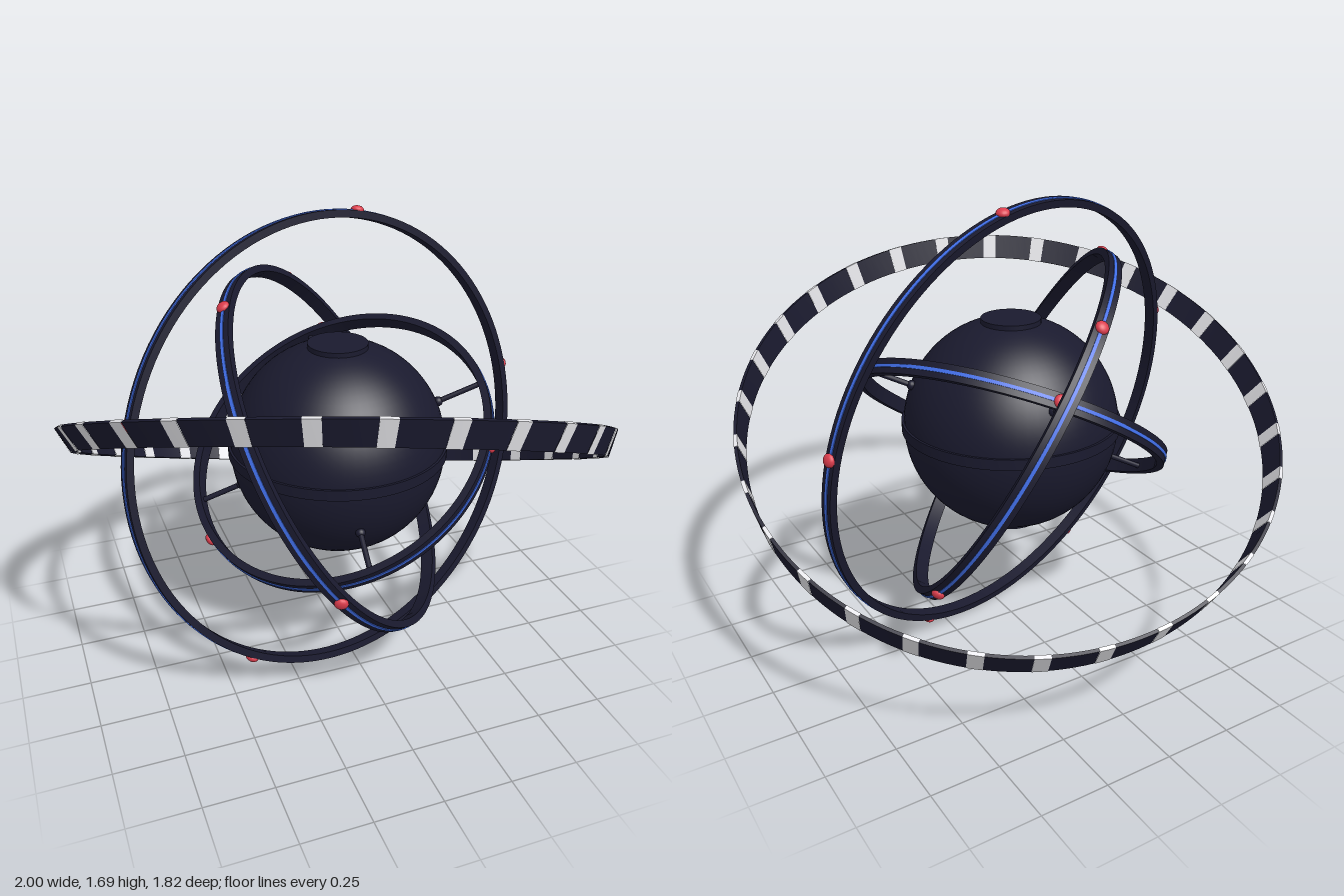
import * as THREE from 'three';
import { toCreasedNormals } from 'three/addons/utils/BufferGeometryUtils.js';

const UP = new THREE.Vector3(0, 1, 0);
const RAD = Math.PI / 180;

function material(name, color) {
  const m = new THREE.MeshStandardMaterial({ color });
  m.name = name;
  return m;
}

function add(parent, name, geometry, mat) {
  const mesh = new THREE.Mesh(geometry, mat);
  mesh.name = name;
  parent.add(mesh);
  return mesh;
}

// Ring, or arc of a ring, with a rectangular section around the y axis
function band(inner, outer, width, segments, start = 0, length = Math.PI * 2) {
  const h = width / 2;
  const profile = [[outer, -h], [outer, h], [inner, h], [inner, -h], [outer, -h]]
    .map(([r, y]) => new THREE.Vector2(r, y));
  return toCreasedNormals(new THREE.LatheGeometry(profile, segments, start, length), 0.6);
}

// Leans the section of a band outward by an angle that varies around the ring
function lean(geometry, radius) {
  const p = geometry.attributes.position;
  for (let i = 0; i < p.count; i++) {
    const x = p.getX(i), y = p.getY(i), z = p.getZ(i);
    const r = Math.hypot(x, z), q = r - radius;
    const a = (22 + 20 * (z - x) / (r * Math.SQRT2)) * RAD;
    const k = (radius + q * Math.cos(a) + y * Math.sin(a)) / r;
    p.setXYZ(i, x * k, y * Math.cos(a) - q * Math.sin(a), z * k);
  }
  return toCreasedNormals(geometry, 0.6);
}

export function createModel() {
  const dark = material('midnightMetal', 0x1a1a2e);
  const white = material('paleStripe', 0xe6e6ea);
  const blue = material('blueGlow', 0x4474f4);
  const red = material('redStud', 0xdc3c4c);

  const model = new THREE.Group();
  model.name = 'orrery';
  const centre = new THREE.Group();
  centre.name = 'centre';
  centre.position.y = 0.85;
  model.add(centre);

  // Core sphere with a raised belt and a low flat cap at each pole
  add(centre, 'coreSphere', new THREE.SphereGeometry(0.4, 64, 40), dark);
  add(centre, 'coreBelt', band(0.37, 0.408, 0.04, 72), dark).position.y = 0.003;
  for (const side of [1, -1]) {
    add(centre, 'polarCap', new THREE.CylinderGeometry(0.11, 0.11, 0.04, 40), dark)
      .position.y = side * 0.382;
  }

  // Gyro rings: outer radius, width, axis and rough stud positions
  const rings = [
    { name: 'innerRing', r: 0.59, w: 0.055, axis: [-0.5, 0.81, 0.31],
      studs: [[0.42, 0.11, 0.41], [0.125, 0.276, -0.52], [-0.5, -0.31, 0]] },
    { name: 'middleRing', r: 0.72, w: 0.052, axis: [0.737, 0.503, 0.45],
      studs: [[-0.41, 0.6, 0.03], [-0.01, 0.505, -0.52], [-0.23, -0.245, 0.65], [0.475, -0.42, -0.315]] },
    { name: 'outerRing', r: 0.852, w: 0.045, axis: [0.255, 0.175, 0.95],
      studs: [[0.82, 0.125, -0.235], [0.15, 0.83, -0.18], [-0.8, 0.28, 0.18], [-0.43, -0.7, 0.25], [0.35, -0.78, 0.05]] },
  ];
  for (const { name, r, w, axis, studs } of rings) {
    const n = new THREE.Vector3(...axis).normalize();
    const ring = new THREE.Group();
    ring.name = name;
    ring.quaternion.setFromUnitVectors(UP, n);
    centre.add(ring);
    add(ring, name + 'Body', band(r - 0.027, r, w, 128), dark);
    add(ring, name + 'GlowLine', band(r - 0.003, r + 0.003, 0.012, 128), blue);
    for (const s of studs) {
      const dir = new THREE.Vector3(...s).projectOnPlane(n).normalize();
      const stud = add(centre, name + 'Stud', new THREE.SphereGeometry(0.024, 16, 12), red);
      stud.position.copy(dir).multiplyScalar(r + 0.003);
      stud.quaternion.setFromUnitVectors(UP, dir);
      stud.scale.y = 0.65;
    }
  }

  // Four struts holding the inner ring, each with a ball at the core
  const strutA = new THREE.Vector3(0.07, 0.235, -0.5).normalize();
  const strutB = new THREE.Vector3(0.48, 0.235, 0.17).normalize();
  for (const dir of [strutA, strutB, strutA.clone().negate(), strutB.clone().negate()]) {
    const strut = add(centre, 'strut', new THREE.CylinderGeometry(0.01, 0.01, 0.19, 12), dark);
    strut.position.copy(dir).multiplyScalar(0.478);
    strut.quaternion.setFromUnitVectors(UP, dir);
    add(centre, 'strutBall', new THREE.SphereGeometry(0.018, 16, 12), dark)
      .position.copy(dir).multiplyScalar(0.405);
  }

  // Striped outermost band, alternating dark and pale arcs
  const striped = new THREE.Group();
  striped.name = 'stripedBand';
  striped.quaternion.setFromUnitVectors(UP, new THREE.Vector3(0.17, 0.88, -0.44).normalize());
  centre.add(striped);
  const count = 30, step = 360 / count, stripe = 3.1, radius = 0.988;
  for (let i = 0; i < count; i++) {
    const a = i * step + 11.4 - stripe / 2;
    const pale = band(radius - 0.007, radius + 0.007, 0.1, 2, a * RAD, stripe * RAD);
    const plain = band(radius - 0.006, radius + 0.006, 0.098, 5, (a + stripe) * RAD, (step - stripe) * RAD);
    add(striped, 'paleArc', lean(pale, radius), white);
    add(striped, 'darkArc', lean(plain, radius), dark);
  }
  return model;
}
